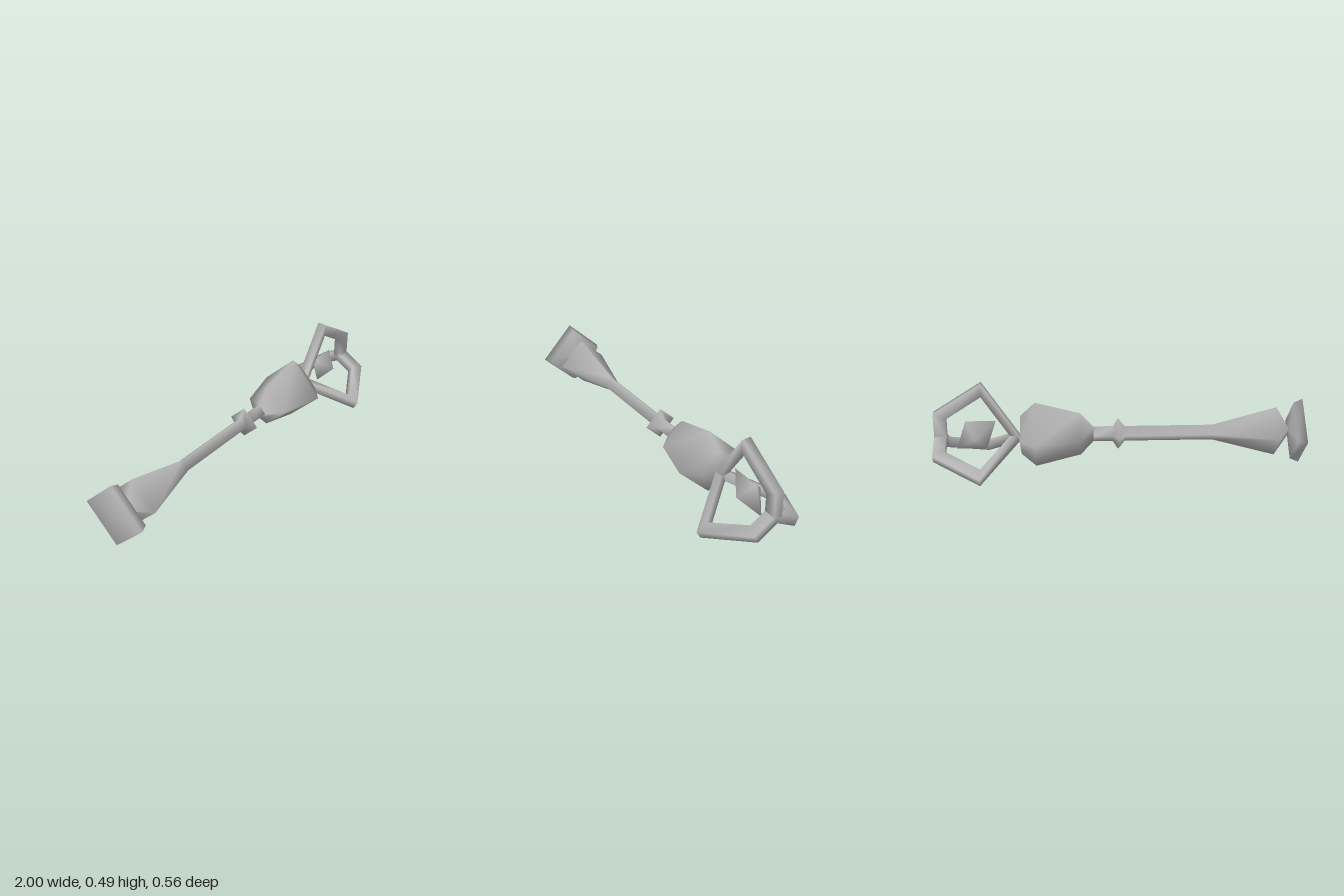
import * as THREE from 'three';
import { mergeVertices } from 'three/addons/utils/BufferGeometryUtils.js';

const AXIS_Y = 0.187;   // height of the handle's axis
const CAGE_Y = 0.176;   // height of the cage's axis

// Joins four-cornered cross-sections into one smooth skin
function loft(rings) {
  const positions = [], index = [];
  rings.forEach(ring => ring.forEach(p => positions.push(...p)));
  for (let i = 0; i < rings.length - 1; i++) {
    for (let k = 0; k < 4; k++) {
      const n = (k + 1) % 4;
      const a = i * 4 + k, b = i * 4 + n, c = b + 4, d = a + 4;
      index.push(a, b, d, b, c, d);
    }
  }
  let geometry = new THREE.BufferGeometry();
  geometry.setAttribute('position', new THREE.Float32BufferAttribute(positions, 3));
  geometry.setIndex(index);
  geometry = mergeVertices(geometry);
  geometry.computeVertexNormals();
  return geometry;
}

// Diamond-shaped turning along x from [x, radius] pairs
const turned = profile => loft(profile.map(([x, r]) => [[x, r, 0], [x, 0, r], [x, -r, 0], [x, 0, -r]]));

export function createModel() {
  const group = new THREE.Group();
  const steel = new THREE.MeshStandardMaterial({ color: 0xb4b4b4 });
  steel.name = 'steel grey';

  const add = (name, geometry, y = 0) => {
    const mesh = new THREE.Mesh(geometry, steel);
    mesh.name = name;
    mesh.position.y = y;
    group.add(mesh);
    return mesh;
  };

  // Pommel, handle with its collar, and head
  add('pommel', turned([[-1, 0], [-1, 0.185], [-0.953, 0.165], [-0.93, 0.015], [-0.93, 0]]), AXIS_Y);
  add('handle', turned([
    [-0.94, 0], [-0.935, 0.015], [-0.86, 0.139], [-0.51, 0.043], [-0.03, 0.043],
    [0.005, 0.09], [0.035, 0.043], [0.145, 0.043],
  ]), AXIS_Y);
  add('head', turned([
    [0.14, 0.043], [0.21, 0.12], [0.455, 0.184], [0.535, 0.11], [0.535, 0],
  ]), AXIS_Y);

  // Three square-section cage arms, from the head round to the tip
  const outer = [[0.535, 0], [0.74, 0.309], [1, 0.145], [1, 0]];
  const inner = [[0.583, 0], [0.74, 0.238], [0.935, 0.113], [0.935, 0]];
  const half = 0.025;
  const armGeometry = loft(outer.map(([x, r], i) => {
    const [u, v] = inner[i];
    return [[x, r, -half], [x, r, half], [u, v, half], [u, v, -half]];
  }));
  for (let i = 0; i < 3; i++) {
    add('cageArm' + (i + 1), armGeometry, CAGE_Y).rotation.x = i * Math.PI * 2 / 3;
  }

  // Skewed gem floating in the cage
  const near = [0.777, 0.19, 0.075], far = [0.777, 0.19, -0.075];
  add('gem', loft([
    Array(4).fill(far),
    [[0.72, 0.112, 0], [0.885, 0.112, 0], [0.832, 0.27, 0], [0.668, 0.27, 0]],
    Array(4).fill(near),
  ]));

  return group;
}
